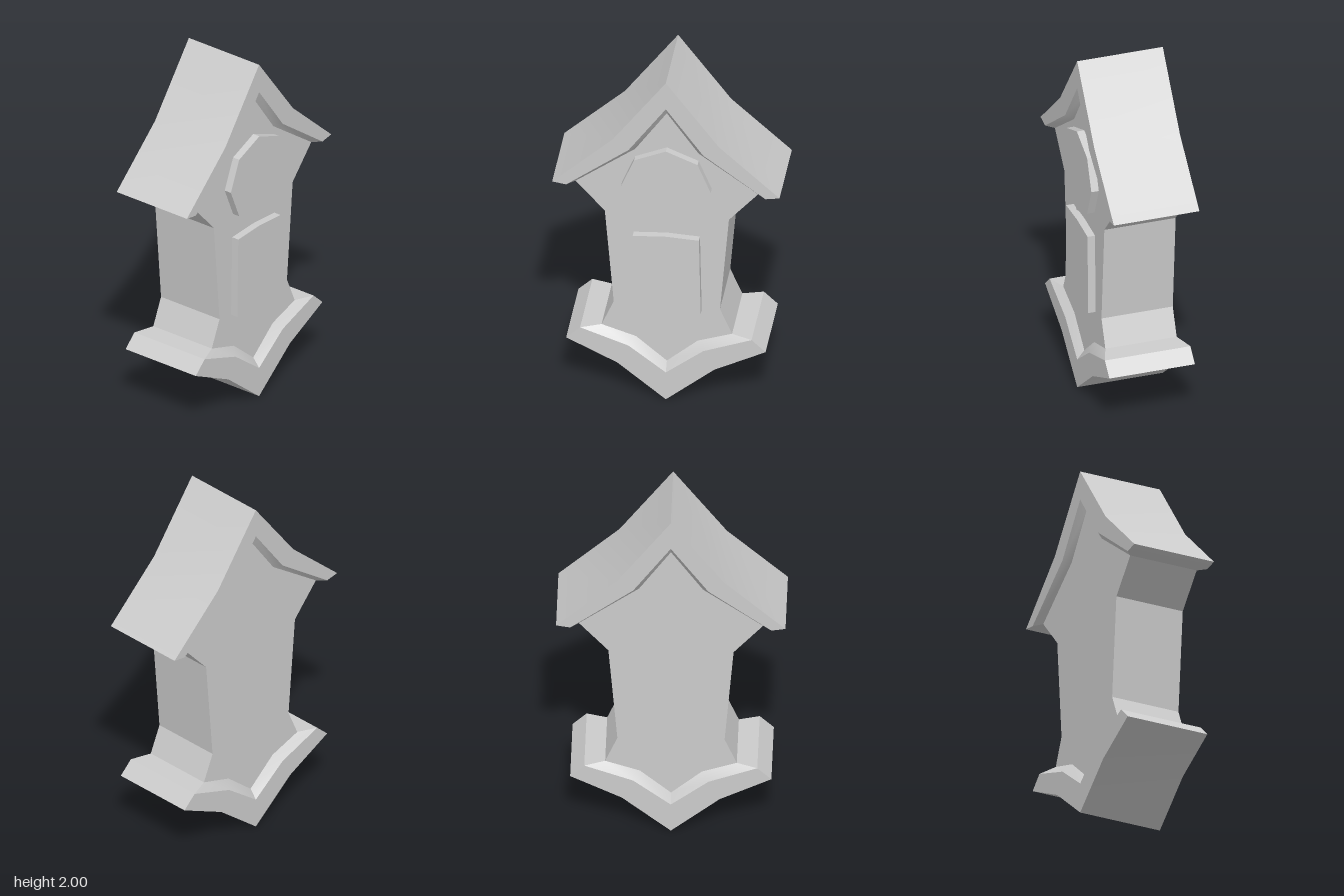
import * as THREE from 'three';
import { toCreasedNormals } from 'three/addons/utils/BufferGeometryUtils.js';

const material = new THREE.MeshStandardMaterial({ color: 0xcccccc });
const WALL = 0.2, RIM = 0.24, CREASE = 0.4;

// Half profiles [x, y] from the +x tip to the centre line
const roof = {
  outer: [[0.61, 1.325], [0.285, 1.62], [0, 2]],
  rim: [[0.535, 1.313], [0.2, 1.56], [0, 1.835]],
  wall: [[0.49, 1.315], [0.17, 1.545], [0, 1.785]],
};
const base = {
  outer: [[0.535, 0.345], [0.26, 0.21], [0, 0]],
  rim: [[0.46, 0.415], [0.2, 0.322], [0, 0.17]],
  wall: [[0.35, 0.42], [0.165, 0.36], [0, 0.22]],
};

// Complete a half profile: +x tip, centre, -x tip
const mirror = (half) => [...half, ...half.slice(0, -1).reverse().map(([x, y]) => [-x, y])];

function addMesh(group, name, geometry) {
  const mesh = new THREE.Mesh(toCreasedNormals(geometry, CREASE), material);
  mesh.name = name;
  group.add(mesh);
}

function slab(points, z0, z1) {
  const shape = new THREE.Shape(points.map(([x, y]) => new THREE.Vector2(x, y)));
  return new THREE.ExtrudeGeometry(shape, { depth: z1 - z0, bevelEnabled: false }).translate(0, 0, z0);
}

// Bent band with bevelled inner edges, lofted from tip to tip
function band({ outer, rim, wall }, reverse) {
  const [o, r, w] = [outer, rim, wall].map((half) => (reverse ? mirror(half).reverse() : mirror(half)));
  const rings = o.map((p, i) => [
    [...p, -RIM], [...p, RIM], [...r[i], RIM], [...w[i], WALL], [...w[i], -WALL], [...r[i], -RIM],
  ]);
  const positions = [];
  const quad = (a, b, c, d) => positions.push(...a, ...b, ...c, ...a, ...c, ...d);
  for (let i = 0; i < rings.length - 1; i++) {
    for (let j = 0; j < 6; j++) {
      if (j === 3) continue; // hidden against the body
      const k = (j + 1) % 6;
      quad(rings[i][j], rings[i][k], rings[i + 1][k], rings[i + 1][j]);
    }
  }
  // End caps
  const first = rings[0], last = rings[rings.length - 1];
  for (const ids of [[0, 1, 2, 5], [5, 2, 3, 4]]) {
    quad(...ids.map((n) => last[n]));
    quad(...[...ids].reverse().map((n) => first[n]));
  }
  const geometry = new THREE.BufferGeometry();
  geometry.setAttribute('position', new THREE.Float32BufferAttribute(positions, 3));
  return geometry;
}

export function createModel() {
  const group = new THREE.Group();
  group.name = 'birdhouseClock';

  // Tapered body between roof and base
  const half = [[0, 0.22], [0.165, 0.36], [0.35, 0.42], [0.285, 0.57], [0.333, 1.14], [0.49, 1.315], [0.17, 1.545]];
  const left = half.slice(1).reverse().map(([x, y]) => [-x, y]);
  addMesh(group, 'body', slab([...half, [0, 1.785], ...left], -WALL, WALL));

  // Roof and pointed base
  addMesh(group, 'roof', band(roof, true));
  addMesh(group, 'base', band(base, false));

  // Octagonal dial
  const dial = Array.from({ length: 8 }, (_, i) => {
    const a = (i * Math.PI) / 4;
    return [0.241 * Math.cos(a), 1.328 + 0.241 * Math.sin(a)];
  });
  addMesh(group, 'dial', slab(dial, WALL - 0.01, 0.242));

  // Door panel with slightly pointed top and bottom
  const door = [[0, 0.53], [0.187, 0.557], [0.178, 1.02], [0, 1.03], [-0.178, 1.02], [-0.187, 0.557]];
  addMesh(group, 'doorPanel', slab(door, WALL - 0.01, 0.242));

  return group;
}
